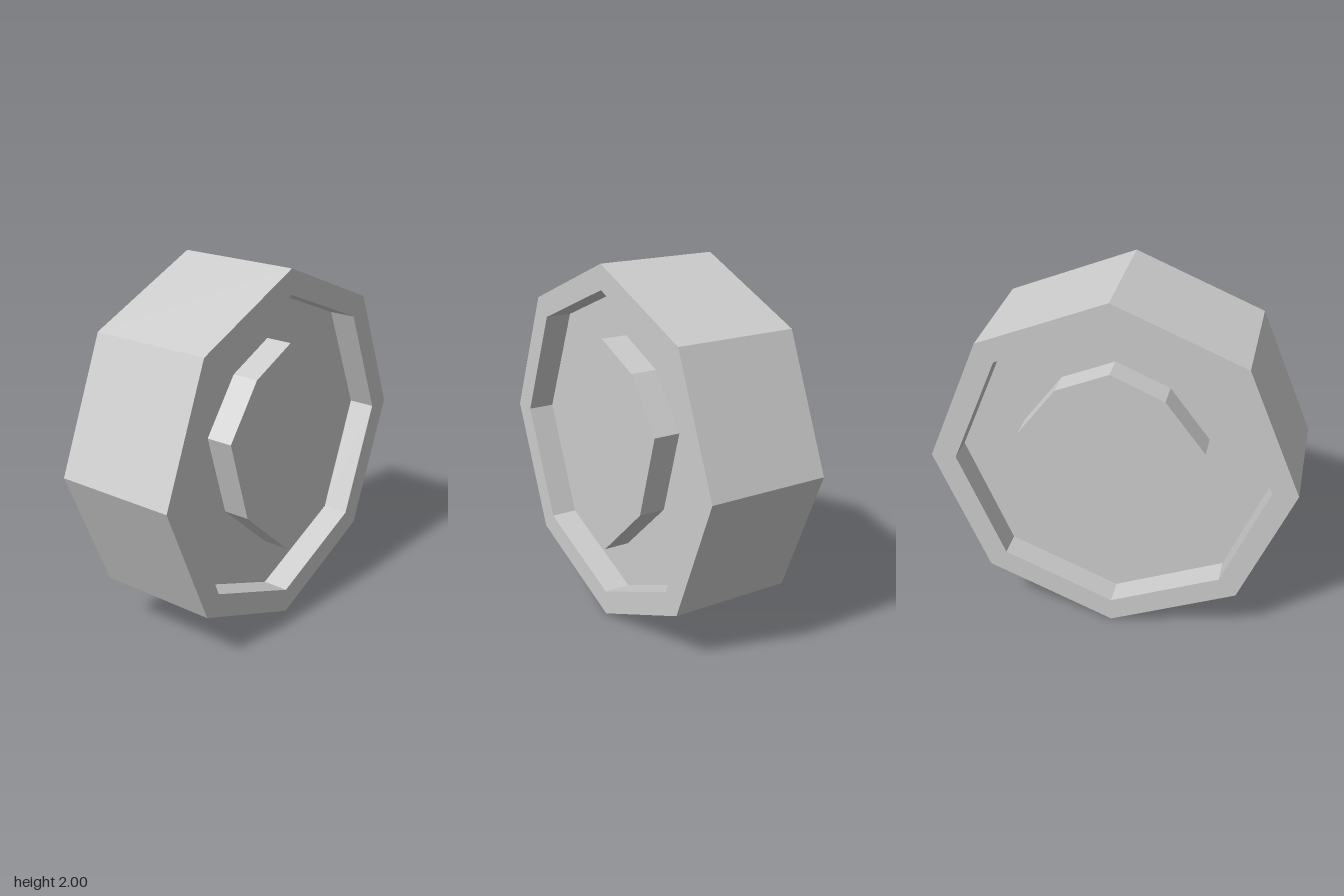
import * as THREE from 'three';

const HALF = 0.347;   // half thickness of the body
const FLOOR = 0.197;  // z of the recessed faces
const material = new THREE.MeshStandardMaterial({ color: 0xcccccc, flatShading: true });

// Give a geometry hard facets and wrap it in a named mesh
function facetedMesh(geometry, name) {
  const flat = geometry.index ? geometry.toNonIndexed() : geometry;
  flat.computeVertexNormals();
  const mesh = new THREE.Mesh(flat, material);
  mesh.name = name;
  return mesh;
}

// Octagonal body with a raised rim around a recess on both faces
function createBody() {
  const profile = [
    [0, -FLOOR], [0.8625, -FLOOR], [0.8625, -HALF], [1, -HALF],
    [1, HALF], [0.8625, HALF], [0.8625, FLOOR], [0, FLOOR],
  ].map(([r, h]) => new THREE.Vector2(r, h));
  const geometry = new THREE.LatheGeometry(profile, 8);
  geometry.rotateX(Math.PI / 2);
  return facetedMesh(geometry, 'octagonalBody');
}

// Symmetric faceted gem shape, flush with the rim
function createGem(name) {
  const right = [[0, -0.6], [0.365, -0.27], [0.505, 0.195], [0.29, 0.48], [0, 0.605]];
  const left = right.slice(1, -1).reverse().map(([x, y]) => [-x, y]);
  const shape = new THREE.Shape([...right, ...left].map(([x, y]) => new THREE.Vector2(x, y)));
  const geometry = new THREE.ExtrudeGeometry(shape, { depth: HALF - FLOOR, bevelEnabled: false });
  geometry.translate(0, 0, FLOOR);
  return facetedMesh(geometry, name);
}

export function createModel() {
  const group = new THREE.Group();
  group.name = 'octagonalMedallion';

  const frontGem = createGem('frontGem');
  const backGem = createGem('backGem');
  backGem.rotation.y = Math.PI;

  group.add(createBody(), frontGem, backGem);
  group.children.forEach((part) => { part.position.y = 1; });
  return group;
}
